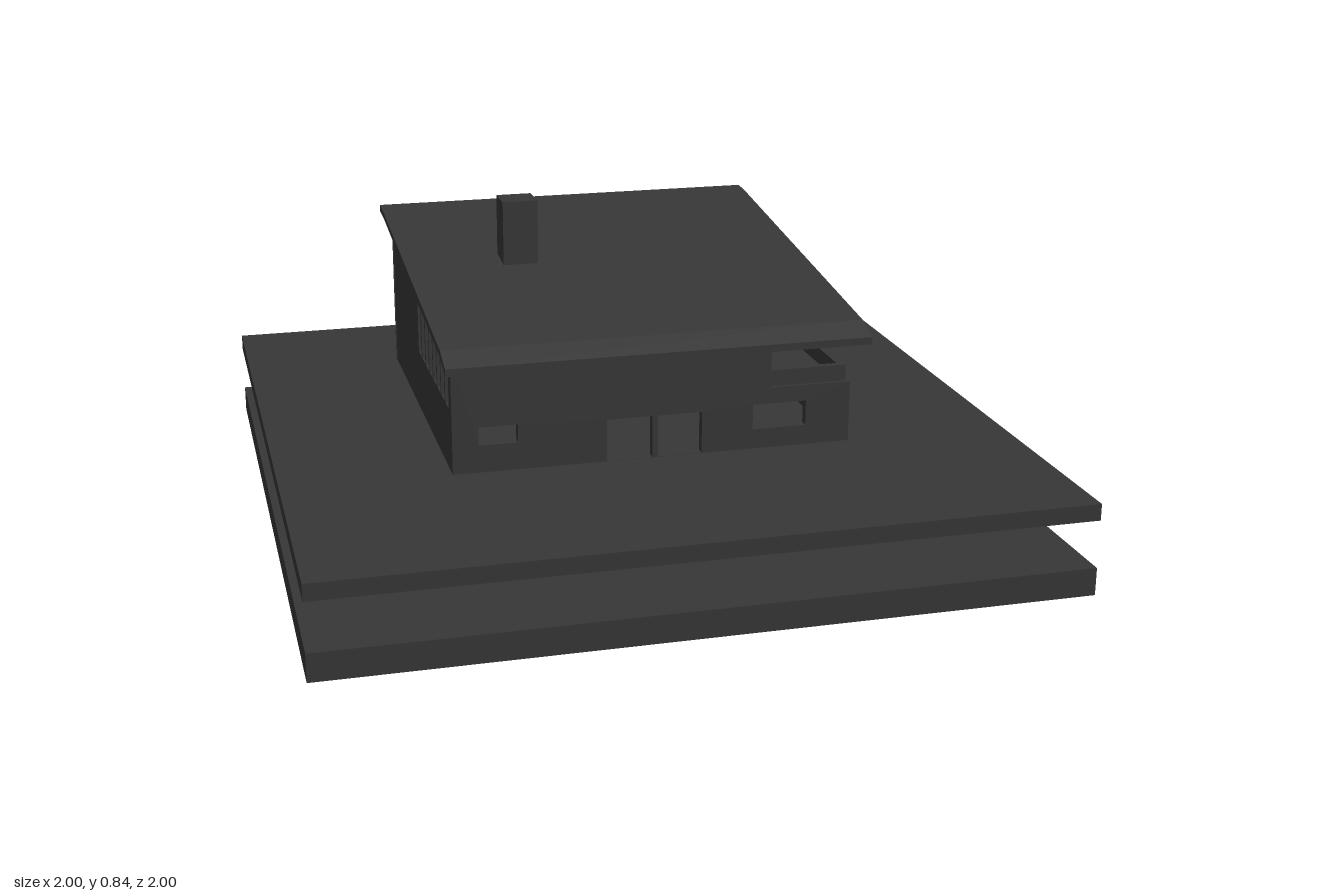
import * as THREE from 'three';

const charcoal = new THREE.MeshStandardMaterial({ color: 0x373737 });
charcoal.name = 'charcoal';

const WALL = 0.025; // wall thickness
const BASE = 0.075; // walls rise from the lower slab
const underRoof = z => 0.572 + (0.4 - z) * 0.119;

export function createModel() {
  const house = new THREE.Group();
  house.name = 'house';

  function add(name, geometry, parent = house) {
    const mesh = new THREE.Mesh(geometry, charcoal);
    mesh.name = name;
    parent.add(mesh);
    return mesh;
  }

  function box(name, x0, x1, y0, y1, z0, z1) {
    const mesh = add(name, new THREE.BoxGeometry(x1 - x0, y1 - y0, z1 - z0));
    mesh.position.set((x0 + x1) / 2, (y0 + y1) / 2, (z0 + z1) / 2);
  }

  // Upright panel running from plan point a to b, outer face on its right.
  // The outline and the holes [u0, u1, y0, y1] are measured along the wall.
  function wall(name, a, b, outline, holes = []) {
    const shape = new THREE.Shape(outline.map(p => new THREE.Vector2(...p)));
    for (const [u0, u1, y0, y1] of holes) {
      shape.holes.push(new THREE.Path([[u0, y0], [u0, y1], [u1, y1], [u1, y0]].map(p => new THREE.Vector2(...p))));
    }
    const geometry = new THREE.ExtrudeGeometry(shape, { depth: WALL, bevelEnabled: false });
    geometry.translate(0, 0, -WALL);
    const mesh = add(name, geometry);
    mesh.position.set(a[0], 0, a[1]);
    mesh.rotation.y = -Math.atan2(b[1] - a[1], b[0] - a[0]);
  }

  // Wall whose top follows the roof slope
  function slopedWall(name, a, b, y0, holes) {
    const length = Math.hypot(b[0] - a[0], b[1] - a[1]);
    wall(name, a, b, [[0, y0], [length, y0], [length, underRoof(b[1])], [0, underRoof(a[1])]], holes);
  }

  // Row of equal slots separated by thin bars
  function slots(u0, u1, count, bar, y0, y1) {
    const pitch = (u1 - u0 + bar) / count;
    return Array.from({ length: count }, (_, i) => [u0 + i * pitch, u0 + (i + 1) * pitch - bar, y0, y1]);
  }

  // Two square ground slabs
  box('lowerSlab', -1, 1, 0, 0.075, -1, 1);
  box('upperSlab', -1, 1, 0.205, 0.25, -1, 1);

  // Front wall: full height on the left, low in front of the terrace
  wall('frontWall', [-0.55, 0.4], [0.545, 0.4],
    [[0, BASE], [1.095, BASE], [1.095, 0.42], [0.87, 0.42], [0.87, 0.572], [0, 0.572]],
    [[0.07, 0.175, 0.325, 0.375], [0.415, 0.54, 0.251, 0.367],
      [0.555, 0.677, 0.251, 0.367], [0.82, 0.97, 0.305, 0.375]]);

  // Low side block below the terrace
  wall('sideBlockWall', [0.545, 0.4], [0.545, -0.2],
    [[0, BASE], [0.6, BASE], [0.6, 0.42], [0, 0.42]], slots(0.095, 0.495, 6, 0.012, 0.335, 0.37));
  wall('sideBlockBack', [0.545, -0.2], [0.32, -0.2],
    [[0, BASE], [0.225, BASE], [0.225, 0.42], [0, 0.42]]);

  // Terrace floor and parapet
  box('terraceFloor', 0.3, 0.54, 0.4, 0.42, -0.198, 0.395);
  box('parapetSide', 0.515, 0.535, 0.42, 0.465, -0.19, 0.39);
  box('parapetFront', 0.32, 0.515, 0.42, 0.465, 0.37, 0.39);
  box('parapetBack', 0.32, 0.515, 0.42, 0.465, -0.19, -0.17);

  // Tall walls under the roof
  slopedWall('terraceWall', [0.32, 0.4], [0.32, -0.2], 0.4, [[0.04, 0.555, 0.425, 0.545]]);
  slopedWall('rearSideWall', [0.32, -0.2], [0.3, -0.555], BASE, [[0.115, 0.18, 0.251, 0.367]]);
  slopedWall('backWall', [0.3, -0.555], [-0.55, -0.65], BASE,
    [[0.15, 0.31, 0.5, 0.61], [0.6, 0.71, 0.53, 0.62]]);
  slopedWall('slottedWall', [-0.55, -0.65], [-0.55, 0.4], BASE, slots(0.495, 1.01, 8, 0.012, 0.42, 0.56));

  // Single-pitch roof with a drooping front eave and a flatter rear edge
  const profile = [[0.475, 0.545], [0.4, 0.572], [-0.65, 0.697], [-0.72, 0.7],
    [-0.72, 0.72], [-0.65, 0.715], [0.4, 0.592], [0.475, 0.565]];
  const roof = new THREE.ExtrudeGeometry(
    new THREE.Shape(profile.map(([z, y]) => new THREE.Vector2(-z, y))), { depth: 1.15, bevelEnabled: false });
  roof.rotateY(Math.PI / 2);
  roof.translate(-0.575, 0, 0);
  add('roof', roof);

  box('chimney', -0.3, -0.2, 0.62, 0.84, -0.25, -0.155);
  return house;
}
